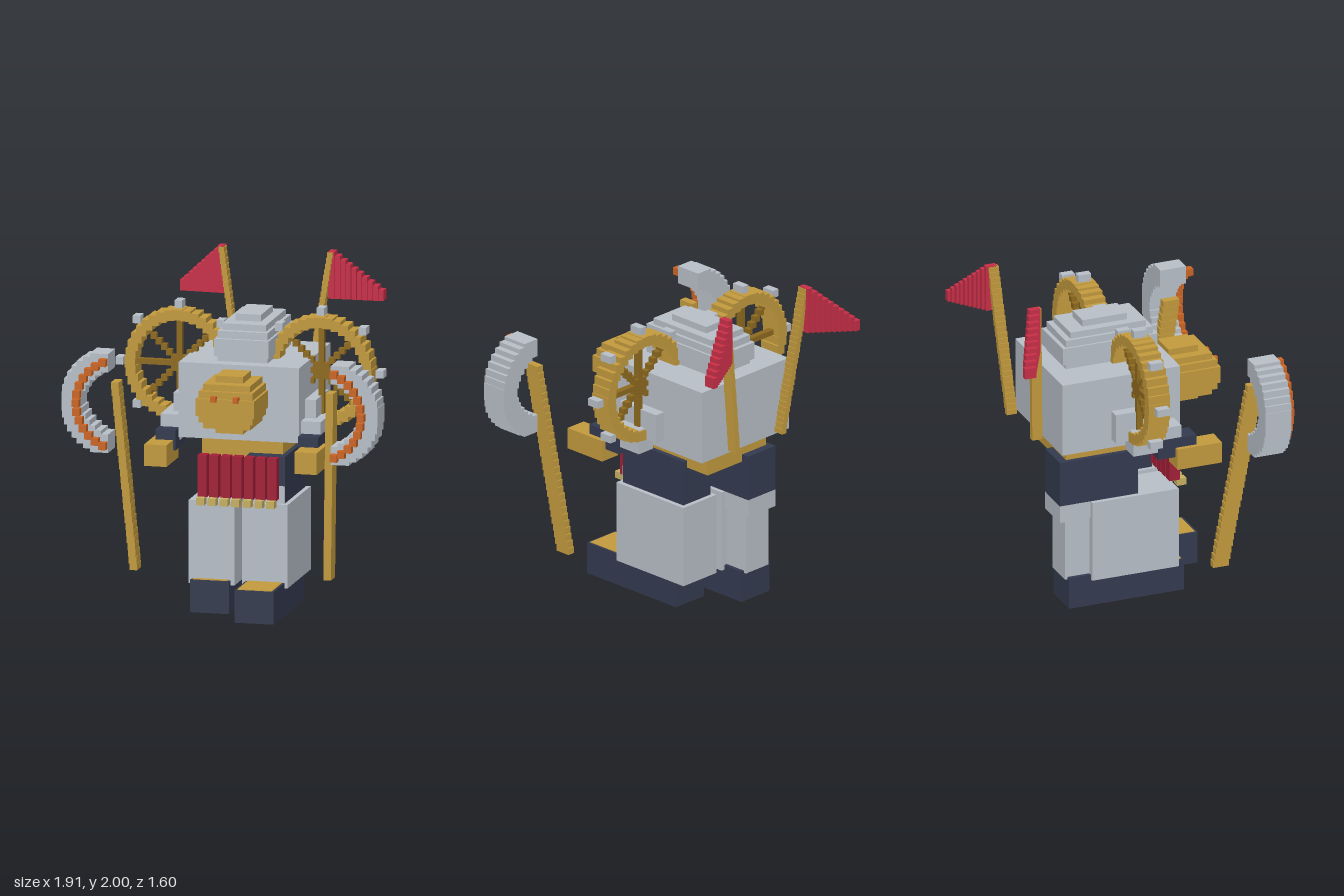
import * as THREE from 'three';
import { mergeGeometries } from 'three/addons/utils/BufferGeometryUtils.js';

const paint = (name, color) => {
  const m = new THREE.MeshStandardMaterial({ color });
  m.name = name;
  return m;
};

// Axis-aligned block from its two corners on each axis
function block(x0, x1, y0, y1, z0, z1) {
  return new THREE.BoxGeometry(x1 - x0, y1 - y0, z1 - z0)
    .translate((x0 + x1) / 2, (y0 + y1) / 2, (z0 + z1) / 2);
}

// Axis-aligned block from its centre and size
function cube(x, y, z, w, h, d) {
  return new THREE.BoxGeometry(w, h, d).translate(x, y, z);
}

// Ball built of stacked rectangular layers
function steppedBall(cx, cy, cz, rx, ry, rz) {
  const levels = [-1, -0.77, -0.55, -0.3, 0.3, 0.55, 0.77, 1];
  const sizes = [0.47, 0.8, 0.92, 1, 0.92, 0.8, 0.47];
  return sizes.map((s, i) => block(cx - rx * s, cx + rx * s,
    cy + ry * levels[i], cy + ry * levels[i + 1], cz - rz * s, cz + rz * s));
}

// Leaning pole made of a staircase of small blocks
function steppedPole(a, b, w, d, n) {
  const out = [];
  const h = (b[1] - a[1]) / n;
  for (let i = 0; i < n; i++) {
    const t = i / (n - 1);
    out.push(cube(a[0] + (b[0] - a[0]) * t, a[1] + h * (i + 0.5), a[2] + (b[2] - a[2]) * t, w, h, d));
  }
  return out;
}

// Blocks placed along an elliptical arc in the front plane
function blockArc(cx, cy, z, rx, ry, from, to, n, size, depth, closed = false) {
  const out = [];
  for (let i = 0; i < n; i++) {
    const a = from + (to - from) * i / (closed ? n : n - 1);
    out.push(cube(cx + rx * Math.cos(a), cy + ry * Math.sin(a), z, size, size, depth));
  }
  return out;
}

export function createModel() {
  const root = new THREE.Group();
  root.name = 'armouredFigure';

  const grey = paint('steel grey', 0xb9c0c9);
  const navy = paint('dark navy', 0x343b50);
  const gold = paint('gold', 0xc49b3e);
  const brown = paint('bronze brown', 0x8f6a1e);
  const flagRed = paint('flag red', 0xc92f48);
  const red = paint('deep red', 0xa31f38);
  const cream = paint('pale brass', 0xc8b162);
  const orange = paint('orange', 0xcc6524);

  const add = (name, mat, geos, parent = root) => {
    const mesh = new THREE.Mesh(mergeGeometries([].concat(geos)), mat);
    mesh.name = name;
    parent.add(mesh);
  };

  // Body
  add('torso', grey, block(-0.365, 0.365, 1.035, 1.485, -0.46, 0.285));
  add('waist', gold, block(-0.245, 0.245, 0.9, 1.035, -0.39, 0.2));
  add('dome', grey, steppedBall(0, 1.57, -0.075, 0.165, 0.175, 0.3));
  add('head', gold, steppedBall(0, 1.293, 0.42, 0.177, 0.172, 0.2));
  add('eyes', orange, [-1, 1].map(s => cube(s * 0.067, 1.347, 0.62, 0.033, 0.033, 0.045)));

  // Skirt of hanging strips with brass tips
  const strips = [], tips = [];
  for (let i = -3; i <= 3; i++) {
    strips.push(block(i * 0.0705 - 0.028, i * 0.0705 + 0.028, 0.692, 0.943, 0.27, 0.335));
    tips.push(block(i * 0.0705 - 0.024, i * 0.0705 + 0.024, 0.652, 0.695, 0.32, 0.38));
  }
  add('skirtStrips', red, strips);
  add('skirtTips', cream, tips);

  for (const s of [1, -1]) {
    const side = new THREE.Group();
    side.name = s > 0 ? 'leftSide' : 'rightSide';
    root.add(side);
    const put = (name, mat, geos) => add(name, mat, geos, side);
    // Block mirrored to this side
    const mb = (x0, x1, y0, y1, z0, z1) => s > 0
      ? block(x0, x1, y0, y1, z0, z1) : block(-x1, -x0, y0, y1, z0, z1);

    // Leg: the left one steps forward, the right one is set back
    const back = s > 0 ? 0 : -0.22;
    const hipFront = 0.275 + back;
    const footFront = 0.565 + back;
    put('hip', navy, mb(0.045, 0.275, 0.667, 0.945, hipFront - 0.495, hipFront));
    put('hipFrontPatch', grey, mb(0.045, 0.275, 0.667, 0.77, hipFront, hipFront + 0.004));
    put('knee', grey, mb(0.045, 0.275, 0.56, 0.667, hipFront - 0.495, hipFront));
    put('calf', grey, mb(0.065, 0.255, 0.18, 0.56, hipFront - 0.455, hipFront - 0.1));
    put('shinGuard', grey, mb(0.022, 0.3, 0.165, 0.665, -0.245, 0.305));
    put('foot', navy, mb(0.045, 0.28, 0, 0.195, footFront - 0.73, footFront));
    put('footTop', gold, mb(0.058, 0.267, 0.195, 0.199, footFront - 0.5, footFront - 0.013));

    // Arm
    put('upperArm', grey, mb(0.365, 0.432, 1.09, 1.27, -0.15, 0.15));
    put('forearm', grey, mb(0.365, 0.485, 1.01, 1.16, -0.06, 0.245));
    put('cuff', navy, mb(0.37, 0.492, 0.965, 1.085, 0.095, 0.338));
    put('hand', gold, mb(0.387, 0.522, 0.895, 1.025, 0.205, 0.488));

    // Wheel: rim, spokes and studs
    const wx = s * 0.43, wy = 1.418, wz = -0.002;
    put('wheelRim', gold, blockArc(wx, wy, wz, 0.287, 0.297, 0, Math.PI * 2, 36, 0.062, 0.135, true));
    const spokes = [cube(wx, wy, wz, 0.54, 0.032, 0.04), cube(wx, wy, wz, 0.032, 0.54, 0.04)];
    for (let i = -6; i <= 6; i++) {
      if (!i) continue;
      for (const d of [1, -1]) spokes.push(cube(wx + i * 0.031, wy + d * i * 0.031, wz, 0.036, 0.036, 0.04));
    }
    put('wheelSpokes', brown, spokes);
    put('wheelStuds', grey, blockArc(wx, wy, wz, 0.358, 0.358, 0, Math.PI * 2, 8, 0.046, 0.08, true));

    // Curved guard with glowing inner beads
    const mid = s > 0 ? 0 : Math.PI;
    put('curvedGuard', grey, blockArc(s * 0.6, 1.315, 0.668, 0.302, 0.267, mid - 1.13, mid + 1.13, 15, 0.11, 0.165));
    put('guardBeads', orange, blockArc(s * 0.6, 1.315, 0.774, 0.263, 0.27, mid - 1.18, mid + 1.18, 13, 0.044, 0.047));

    // Leaning staff
    put('staff', gold, steppedPole([s * 0.587, 0.267, 0.445], [s * 0.65, 1.43, 0.638], 0.046, 0.1, 28));

    // Banner pole and stepped flag behind
    put('bannerPole', gold, steppedPole([s * 0.195, 1.09, -0.557], [s * 0.328, 1.995, -0.618], 0.034, 0.064, 27));
    const cols = [];
    for (let i = 0; i < 10; i++) {
      const t = i / 9;
      cols.push(block(s * (0.335 + 0.262 * t) - 0.019, s * (0.335 + 0.262 * t) + 0.019,
        1.718 - 0.028 * t, 2 - 0.245 * t, -0.665 - 0.135 * t, -0.595 - 0.135 * t));
    }
    put('flag', flagRed, cols);
  }
  return root;
}
